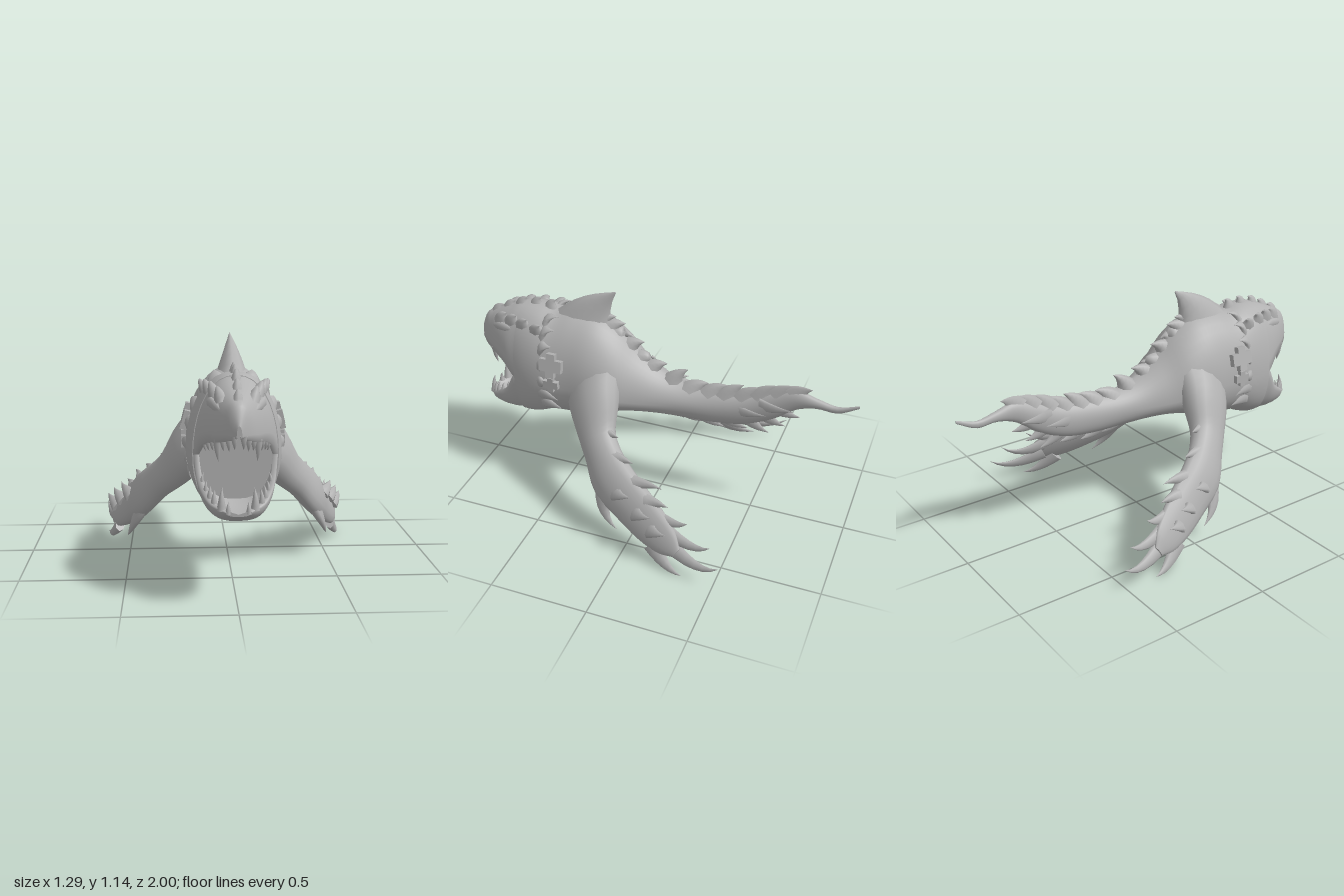
import * as THREE from 'three';

const V = (x, y, z) => new THREE.Vector3(x, y, z);
const grey = new THREE.MeshStandardMaterial({ color: 0xb2b2b2 });
grey.name = 'grey hide';

// Skin closed rings of points, cap both ends and make the faces point outward
function loft(name, rings) {
  const n = rings[0].length, pos = [], idx = [];
  rings.forEach(r => r.forEach(p => pos.push(p.x, p.y, p.z)));
  for (let i = 0; i < rings.length - 1; i++) {
    for (let j = 0; j < n; j++) {
      const a = i * n + j, b = i * n + (j + 1) % n;
      idx.push(a, b, b + n, a, b + n, a + n);
    }
  }
  [0, rings.length - 1].forEach(i => {
    const c = V(0, 0, 0), k = pos.length / 3;
    rings[i].forEach(p => c.addScaledVector(p, 1 / n));
    rings[i].forEach(p => pos.push(p.x, p.y, p.z));
    pos.push(c.x, c.y, c.z);
    for (let j = 0; j < n; j++) {
      const a = k + j, b = k + (j + 1) % n;
      if (i) idx.push(a, b, k + n); else idx.push(b, a, k + n);
    }
  });
  const at = i => V(pos[3 * i], pos[3 * i + 1], pos[3 * i + 2]);
  let volume = 0;
  for (let i = 0; i < idx.length; i += 3) volume += at(idx[i]).dot(at(idx[i + 1]).cross(at(idx[i + 2])));
  if (volume < 0) idx.reverse();
  const g = new THREE.BufferGeometry();
  g.setAttribute('position', new THREE.Float32BufferAttribute(pos, 3));
  g.setIndex(idx);
  g.computeVertexNormals();
  const mesh = new THREE.Mesh(g, grey);
  mesh.name = name;
  return mesh;
}

// Smooth lookup of the remaining columns by the first column
function table(rows) {
  const f = new THREE.CubicInterpolant(rows.map(r => r[0]), rows.flatMap(r => r.slice(1)), rows[0].length - 1);
  return t => Array.from(f.evaluate(t));
}

// Flattened tapering limb; rows are [x, y, z, half width, half thickness]
function limb(name, rows, wide, n = 10) {
  const pts = rows.map(r => V(r[0], r[1], r[2]));
  return loft(name, rows.map((r, i) => {
    const t = pts[Math.min(i + 1, pts.length - 1)].clone().sub(pts[Math.max(i - 1, 0)]).normalize();
    const w = wide.clone().addScaledVector(t, -wide.dot(t)).normalize();
    const b = t.clone().cross(w);
    return Array.from({ length: n }, (_, j) => {
      const a = j / n * Math.PI * 2;
      return pts[i].clone().addScaledVector(w, Math.cos(a) * r[3]).addScaledVector(b, Math.sin(a) * r[4]);
    });
  }));
}

// Curved pointed spike from p0 bending past p1 to p2
function spike(name, p0, p1, p2, width, thick, wide, n = 8) {
  const c = new THREE.QuadraticBezierCurve3(p0, p1, p2);
  const rows = Array.from({ length: 7 }, (_, i) => {
    const t = i / 6, k = Math.max(1 - t, 0.02), p = c.getPoint(t);
    return [p.x, p.y, p.z, width * k, thick * k];
  });
  return limb(name, rows, wide, n);
}

// [z, bottom, top, half width, widest height, upper exponent]
const bodyAt = table([
  [-1, .75, .765, .003, .757, 1], [-.9, .70, .735, .012, .72, 1], [-.8, .705, .755, .02, .73, 1],
  [-.7, .675, .78, .028, .73, 1.1], [-.6, .6, .75, .035, .68, 1.2], [-.45, .53, .70, .046, .62, 1.2],
  [-.3, .505, .69, .06, .6, 1.3], [-.1, .505, .70, .09, .6, 1.3], [0, .51, .74, .115, .6, 1.3],
  [.12, .51, .83, .158, .61, 1.3], [.22, .495, .93, .2, .63, 1.2], [.32, .46, .99, .215, .65, 1.1],
  [.45, .435, 1.0, .215, .65, 1], [.56, .425, .982, .218, .645, .92], [.63, .393, .996, .214, .642, .9],
  [.7, .374, .997, .202, .642, .9], [.74, .371, .992, .19, .642, .9]]);
// [z, rim, outer height, half width]
const upperAt = table([
  [.55, .635, .985, .216], [.63, .635, .992, .21], [.7, .637, .993, .198], [.75, .645, .987, .183], [.775, .668, .98, .174], [.8, .692, .97, .163],
  [.86, .72, .945, .13], [.92, .73, .915, .09], [.97, .745, .88, .05], [1, .76, .81, .012]]);
const lowerAt = table([
  [.66, .648, .386, .203], [.7, .648, .378, .197], [.75, .645, .374, .183], [.775, .6, .373, .178], [.8, .553, .374, .17],
  [.86, .503, .378, .148], [.92, .465, .392, .113], [.965, .44, .42, .055]]);

const steps = (a, b, n) => Array.from({ length: n + 1 }, (_, i) => a + (b - a) * i / n);
const pow = (c, p) => Math.sign(c) * Math.abs(c) ** p;

function bodyRing(z) {
  const [yb, yt, w, ym, p] = bodyAt(z);
  return steps(0, Math.PI * 2, 36).slice(0, 36).map(a => {
    const s = Math.sin(a), e = s > 0 ? p : Math.min(.85, .85 - .2 * z);
    return V(w * pow(Math.cos(a), e), ym + s * (s > 0 ? yt - ym : ym - yb), z);
  });
}

// Jaw section: outer arc out and hollow inner arc back
function jawRing(at, z, p, hollow) {
  const [rim, y, w] = at(z), inner = Math.max(w - .022, w * .6);
  const arc = steps(0, Math.PI, 18);
  const pt = (a, r, h) => V(r * pow(Math.cos(a), p), rim + (y - rim) * h * Math.sin(a), z);
  return [...arc.map(a => pt(a, w, 1)), ...arc.reverse().map(a => pt(a, inner, hollow))];
}

// Arm with webbed hand, claws and edge spines; s = 1 left, -1 right
function arm(s) {
  const g = new THREE.Group();
  g.name = s > 0 ? 'leftArm' : 'rightArm';
  const P = (x, y, z) => V(s * x, y, z), W = P(-.15, .8, -.58).normalize();
  const at = table([
    [0, .08, .67, .33, .19, .13], [1, .185, .59, .295, .155, .105], [2, .275, .48, .245, .115, .078], [3, .345, .41, .185, .108, .066],
    [4, .42, .325, .1, .13, .062], [5, .475, .255, -.02, .122, .052], [6, .53, .195, -.14, .11, .04],
    [7, .575, .15, -.24, .08, .025], [8, .6, .12, -.3, .03, .01]]);
  g.add(limb('flipperArm', steps(0, 8, 28).map(t => { const r = at(t); r[0] *= s; return r; }), W, 16));
  // long claws: base, bend, tip, size
  [[[.51, .25, -.14], [.54, .23, -.28], [.56, .285, -.34], .045],
   [[.54, .21, -.2], [.58, .13, -.38], [.61, .215, -.47], .048],
   [[.56, .14, -.24], [.63, .05, -.42], [.645, .13, -.525], .05],
   [[.56, .1, -.16], [.61, .005, -.25], [.63, .01, -.335], .055],
   [[.44, .25, .14], [.49, .15, .15], [.51, .09, .05], .06]
  ].forEach(([a, b, c, r]) => g.add(spike('claw', P(...a), P(...b), P(...c), r, r * .5, W)));
  // trailing edge spines: [station, length]
  [[2.6, .6], [3.7, .7], [4.7, 1.1], [5.5, .8]].forEach(([t, L]) => {
    const [x, y, z, w] = at(t), e = P(x, y, z + .03).addScaledVector(W, w * .8);
    const b = e.clone().addScaledVector(W, .03 * L).add(P(.01, 0, -.05 * L));
    g.add(spike('edgeSpine', e, b, b.clone().add(P(.025, .005, -.085 * L)), .045, .03, P(.3, -.5, -.75)));
  });
  // small spines on the outer face
  [[4.6, .02], [5.6, .03], [6.4, .02]].forEach(([t, d]) => {
    const [x, y, z, , th] = at(t), e = P(x + th * .6, y + d, z + .03);
    g.add(spike('outerSpine', e, e.clone().add(P(.045, .03, -.04)), e.clone().add(P(.055, .045, -.1)), .04, .02, W));
  });
  return g;
}

export function createModel() {
  const model = new THREE.Group();
  const group = name => { const g = new THREE.Group(); g.name = name; model.add(g); return g; };
  const X = V(1, 0, 0), Z = V(0, 0, 1);

  model.add(loft('bodyAndTail', steps(-1, .74, 68).map(bodyRing)));
  model.add(loft('upperJaw', steps(.68, 1, 26).map(z => jawRing(upperAt, z, .9, .35))));
  model.add(loft('lowerJaw', steps(.68, .965, 26).map(z => jawRing(lowerAt, z, .72, .75))));
  model.add(arm(1), arm(-1));

  // tall fin behind the head
  model.add(spike('dorsalFin', V(0, .92, .4), V(0, 1.04, .36), V(0, 1.135, .24), .17, .085, Z, 12));

  // broad overlapping blades along the back and tail: tip [z, y]
  const back = group('backSpines');
  [[.24, 1.0], [.19, .97], [.15, .905], [.09, .885], [.03, .805], [-.03, .785], [-.14, .775], [-.25, .72],
   [-.35, .73], [-.43, .75], [-.52, .755], [-.6, .785], [-.69, .8], [-.77, .8]].forEach(([z, y]) => {
    const [, yt, w] = bodyAt(z + .07), L = y - yt;
    back.add(spike('backSpine', V(0, yt - .035, z + .09), V(0, yt + Math.max(L, 0) * .5, z + .06), V(0, y, z),
      .065, Math.min(.055, w * .75), Z));
  });

  // swept spines on the tail sides and under the tail
  const tail = group('tailSpines');
  [-.45, -.58].forEach(z => [1, -1].forEach(s => {
    const [, , w, ym] = bodyAt(z);
    tail.add(spike('tailSideSpine', V(s * w * .7, ym, z + .06), V(s * (w + .004), ym, z - .03),
      V(s * (w + .004), ym + .01, z - .11), .04, .012, V(0, 1, 0)));
  }));
  [[-.24, .485], [-.34, .478], [-.46, .5], [-.57, .5], [-.65, .56], [-.72, .63]].forEach(([z, y]) => {
    const yb = bodyAt(z + .08)[0];
    tail.add(spike('tailBellySpine', V(0, yb + .05, z + .14), V(0, (y + yb) / 2 - .005, z + .08), V(0, y, z), .06, .028, V(0, 1, 0)));
  });

  // scale rows on the head: crown, brows and rear collar
  const scales = group('headScales');
  const headPoint = (z, a, s) => {
    const [rim, y, w] = upperAt(z);
    return V(s * w * pow(Math.cos(a), .9), rim + (y - rim) * Math.sin(a), z);
  };
  const scale = (p, out, sweep, width, thick, wide) => {
    const o = V(p.x, (p.y - .65) * .8, 0).normalize();
    const base = p.clone().addScaledVector(o, -.03), bend = p.clone().addScaledVector(o, out);
    scales.add(spike('headScale', base, bend, bend.clone().add(V(0, .005, -sweep)), width, thick, wide));
  };
  [.9, .83, .76, .68, .6].forEach((z, i) => scale(headPoint(z, Math.PI / 2, 1), .015 + .005 * i, .03, .045, .03, Z));
  [1, -1].forEach(s => {
    [.84, .77, .7, .62].forEach((z, i) => scale(headPoint(z, 1.05 - i * .04, s), .025 + .004 * i, .03, .055, .035, Z));
    [.1, .38, .66, .94, 1.22].forEach((a, i) =>
      scale(headPoint(.585, a, s), .018, .07, .055, .028, V(-s * Math.sin(a), Math.cos(a), 0)));
    // ragged edge below the cheek
    [[.6, .53], [.54, .52]].forEach(([y, z], i) =>
      scales.add(spike('cheekScale', V(s * (.2 - i * .012), y, z + .06), V(s * (.225 - i * .014), y, z), V(s * (.22 - i * .018), y - .02, z - .05),
        .04, .016, V(0, 1, 0))));
    // cross-shaped cheek plates
    [[.78, .125, .06], [.675, .08, .04]].forEach(([y, h, d]) => {
      [[h, d * .75], [h * .5, d * 2]].forEach(([bh, bd]) => {
        const m = new THREE.Mesh(new THREE.BoxGeometry(.03, bh, bd), grey);
        m.name = 'cheekPlate';
        m.position.set(s * (y > .7 ? .214 : .222), y, .51);
        m.rotation.z = s * (y > .7 ? .25 : 0);
        scales.add(m);
      });
    });
    // heavy brow over the eye hollow
    const brow = [.91, .86, .8, .73].map((z, i) => {
      const p = headPoint(z, .8, s);
      return [p.x * .94, p.y - .012, z, [.004, .026, .028, .004][i], [.004, .018, .018, .004][i]];
    });
    scales.add(limb('brow', brow, V(0, 1, 0), 10));
  });

  // teeth along both rims: [z, length, radius]
  const teeth = group('teeth');
  const tooth = (at, z, L, r, s, dir) => {
    const [rim, , w] = at(z), x = s * Math.max(w - .018, w * .6);
    teeth.add(spike('tooth', V(x, rim - dir * .012, z - .005), V(x * 1.02, rim + dir * L * .6, z),
      V(x * .95, rim + dir * L, z - .012), r, r, X));
  };
  [1, -1].forEach(s => {
    [[.815, .03, .011], [.84, .035, .013], [.868, .04, .014], [.9, .085, .02],
     [.93, .04, .015], [.96, .045, .016], [.985, .045, .016]]
      .forEach(([z, L, r]) => tooth(upperAt, z, L, r, s, -1));
    [[.81, .035, .01], [.85, .04, .012], [.885, .05, .015], [.912, .055, .016], [.94, .085, .021], [.96, .04, .014]]
      .forEach(([z, L, r]) => tooth(lowerAt, z, L, r, s, 1));
  });
  return model;
}
